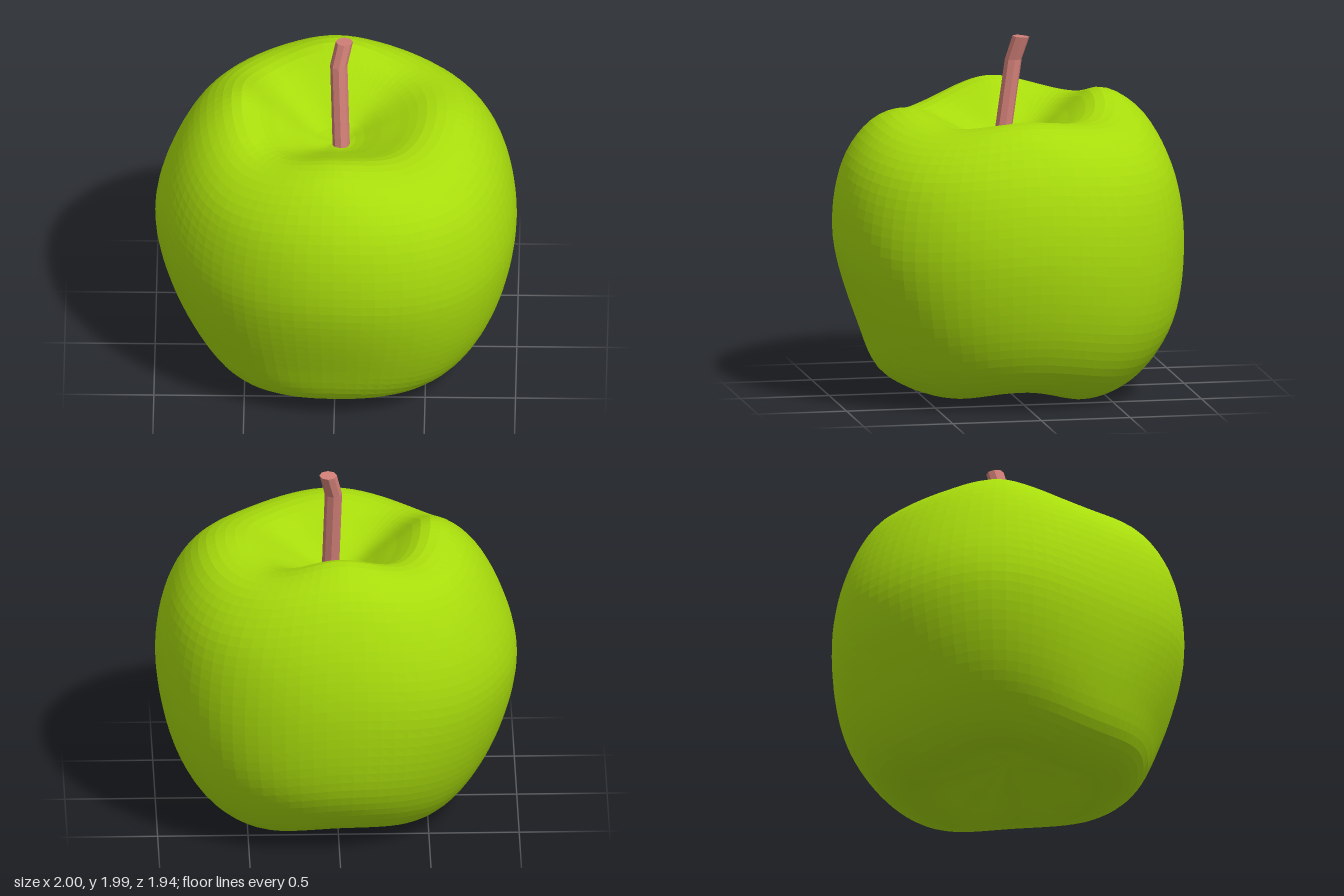
import * as THREE from 'three';

// Each ring, from stem hollow to base hollow: [radii, heights].
// Eight keys go round the fruit: front, +x+z, +x, +x-z, back, -x-z, -x, -x+z.
const all = (v) => Array(8).fill(v);
const RINGS = [
  [all(0), all(1.37)],
  [all(0.12), [1.4, 1.39, 1.4, 1.39, 1.4, 1.39, 1.4, 1.39]],
  [all(0.31), [1.5, 1.47, 1.5, 1.49, 1.54, 1.5, 1.54, 1.47]],
  [[0.55, 0.54, 0.55, 0.53, 0.52, 0.53, 0.52, 0.54], [1.6, 1.55, 1.6, 1.57, 1.68, 1.6, 1.68, 1.55]],
  [[0.74, 0.75, 0.74, 0.75, 0.73, 0.73, 0.71, 0.71], [1.54, 1.5, 1.55, 1.53, 1.58, 1.55, 1.58, 1.5]],
  [[0.91, 0.94, 0.92, 0.94, 0.89, 0.9, 0.89, 0.88], all(1.31)],
  [[0.97, 1.03, 1.0, 1.02, 0.97, 1.0, 1.0, 0.96], all(0.9)],
  [[0.83, 0.92, 0.9, 0.95, 0.9, 0.89, 0.87, 0.86], all(0.4)],
  [[0.7, 0.75, 0.73, 0.76, 0.7, 0.71, 0.67, 0.72], [0.13, 0.13, 0.15, 0.11, 0.14, 0.12, 0.13, 0.12]],
  [all(0.5), [0.06, 0.03, 0.08, 0.005, 0.08, 0.03, 0.07, 0.02]],
  [all(0.25), [0.13, 0.1, 0.14, 0.09, 0.14, 0.1, 0.14, 0.1]],
  [all(0), all(0.2)],
];

function makeFruit(around = 80, down = 56) {
  const loops = RINGS.map(([r, y]) => new THREE.CatmullRomCurve3(
    r.map((v, k) => new THREE.Vector3(v, y[k], 0)), true, 'catmullrom', 0.5));
  const positions = [];
  const index = [];
  for (let i = 0; i <= around; i++) {
    const t = (i % around) / around;
    const a = t * Math.PI * 2;
    // Profile at this angle
    const profile = new THREE.CatmullRomCurve3(loops.map((c) => c.getPoint(t)));
    profile.getSpacedPoints(down).forEach((p, j) => {
      const r = j === 0 || j === down ? 0 : Math.max(p.x, 0);
      positions.push(r * Math.sin(a), p.y, r * Math.cos(a));
      if (i === around || j === down) return;
      const n = i * (down + 1) + j;
      const m = n + down + 1;
      if (j < down - 1) index.push(n, n + 1, m + 1);
      if (j > 0) index.push(n, m + 1, m);
    });
  }
  const geometry = new THREE.BufferGeometry();
  geometry.setAttribute('position', new THREE.Float32BufferAttribute(positions, 3));
  geometry.setIndex(index);
  geometry.computeVertexNormals();
  return geometry;
}

// Eight-sided stem bent at its upper joint
function makeStem() {
  const geometry = new THREE.CylinderGeometry(0.048, 0.048, 2, 8, 2);
  const joints = [[0.03, 1.36, 0.04], [0.015, 1.865, -0.035], [0.045, 1.995, -0.072]];
  const p = geometry.attributes.position;
  for (let i = 0; i < p.count; i++) {
    const level = Math.round(p.getY(i)) + 1;
    const [x, y, z] = joints[level];
    const tilt = level === 2 ? p.getZ(i) * 0.1 : 0;
    p.setXYZ(i, p.getX(i) + x, y + tilt, p.getZ(i) + z);
  }
  geometry.computeVertexNormals();
  return geometry;
}

export function createModel() {
  const model = new THREE.Group();
  const add = (name, geometry, color) => {
    const mesh = new THREE.Mesh(geometry, new THREE.MeshStandardMaterial({ color, flatShading: true }));
    mesh.name = name;
    model.add(mesh);
  };
  add('fruit', makeFruit(), 0xa8dc0c);
  add('stem', makeStem(), 0xd28078);
  return model;
}
